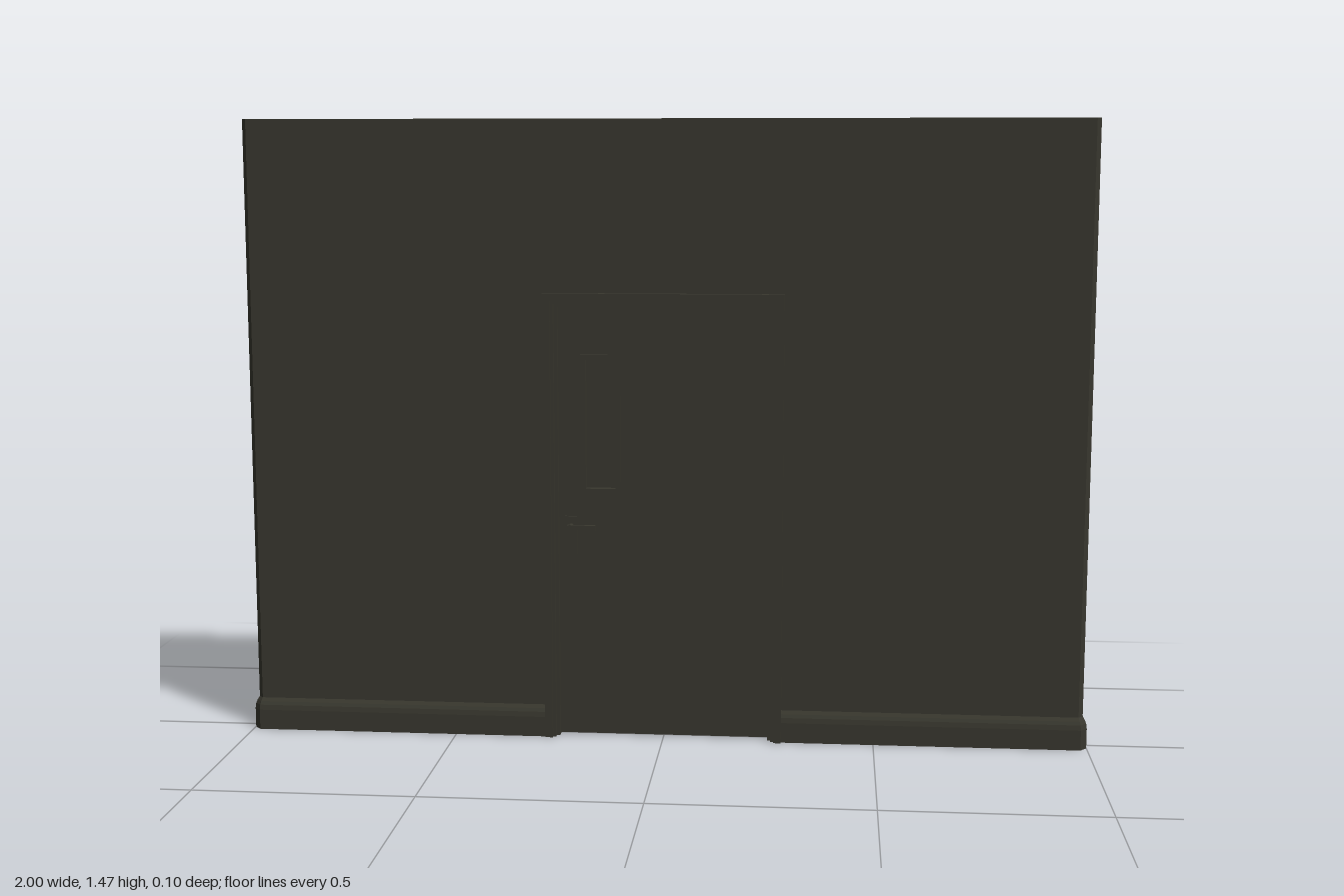
import * as THREE from 'three';

const HEIGHT = 1.466;
const paint = new THREE.MeshStandardMaterial({ color: 0x38372e, side: THREE.DoubleSide });
paint.name = 'dark olive paint';

// Sweeps a profile of [offset, y] along a plan of [x, z, xOut, zOut], x increasing.
function sweep(plan, profile) {
  const pos = [];
  const at = (p, r) => [p[0] + p[2] * r[0], r[1], p[1] + p[3] * r[0]];
  for (let i = 0; i < plan.length - 1; i++) {
    for (let j = 0; j < profile.length - 1; j++) {
      const a = at(plan[i], profile[j]), b = at(plan[i + 1], profile[j]);
      const c = at(plan[i + 1], profile[j + 1]), d = at(plan[i], profile[j + 1]);
      pos.push(...a, ...b, ...c, ...a, ...c, ...d);
    }
  }
  // end caps
  const first = plan[0], last = plan[plan.length - 1];
  for (let j = 1; j < profile.length - 2; j++) {
    pos.push(...at(first, profile[0]), ...at(first, profile[j]), ...at(first, profile[j + 1]));
    pos.push(...at(last, profile[0]), ...at(last, profile[j + 1]), ...at(last, profile[j]));
  }
  const g = new THREE.BufferGeometry();
  g.setAttribute('position', new THREE.Float32BufferAttribute(pos, 3));
  g.computeVertexNormals();
  return g;
}

const mirrorPlan = (plan) => plan.map(([x, z, u, v]) => [-x, z, -u, v]).reverse();

function add(parent, name, geometry) {
  const m = new THREE.Mesh(geometry, paint);
  m.name = name;
  parent.add(m);
  return m;
}

function box(parent, name, x0, x1, y0, y1, z0, z1) {
  const m = add(parent, name, new THREE.BoxGeometry(x1 - x0, y1 - y0, z1 - z0));
  m.position.set((x0 + x1) / 2, (y0 + y1) / 2, (z0 + z1) / 2);
  return m;
}

// Flat rectangular ring facing +z
function ring(x0, x1, y0, y1, w, depth) {
  const s = new THREE.Shape();
  s.moveTo(x0, y0).lineTo(x1, y0).lineTo(x1, y1).lineTo(x0, y1).closePath();
  const h = new THREE.Path();
  h.moveTo(x0 + w, y0 + w).lineTo(x0 + w, y1 - w).lineTo(x1 - w, y1 - w).lineTo(x1 - w, y0 + w).closePath();
  s.holes.push(h);
  return new THREE.ExtrudeGeometry(s, { depth, bevelEnabled: false });
}

// One face of the wall: two side panels, the panel over the door, and skirting
function wallFace(name) {
  const g = new THREE.Group();
  g.name = name;
  const plan = [[0.265, 0.03, 0, 1], [0.979, 0.03, 0.4, 1], [0.99, 0.018, 0.8, 0.5]];
  const sheet = (y0) => [[-0.004, y0], [0, y0], [0, HEIGHT], [-0.004, HEIGHT], [-0.004, y0]];
  const skirt = [[0, 0], [0.012, 0], [0.012, 0.048], [0.01, 0.06], [0.006, 0.068], [0, 0.076], [0, 0]];
  for (const [side, p] of [['left', plan], ['right', mirrorPlan(plan)]]) {
    add(g, side + 'WallPanel', sweep(p, sheet(0)));
    add(g, side + 'Skirting', sweep(p, skirt));
  }
  add(g, 'overDoorPanel', sweep([[-0.265, 0.03, 0, 1], [0.265, 0.03, 0, 1]], sheet(1.05)));
  return g;
}

// Lever handle on its plate, fixed to the door face at z
function handle(name, z) {
  const g = new THREE.Group();
  g.name = name;
  const s = Math.sign(z), a = Math.abs(z);
  const part = (n, x0, x1, y0, y1, d0, d1) =>
    box(g, n, x0, x1, y0, y1, Math.min(s * (a + d0), s * (a + d1)), Math.max(s * (a + d0), s * (a + d1)));
  part('handlePlate', -0.235, -0.206, 0.445, 0.535, 0, 0.006);
  const stem = add(g, 'handleStem', new THREE.CylinderGeometry(0.007, 0.007, 0.026, 12));
  stem.rotation.x = Math.PI / 2;
  stem.position.set(-0.22, 0.511, s * (a + 0.014));
  part('handleLever', -0.227, -0.16, 0.505, 0.517, 0.018, 0.028);
  return g;
}

export function createModel() {
  const model = new THREE.Group();
  model.name = 'wallWithDoor';

  // Wall faces, front and back
  model.add(wallFace('frontWall'));
  const back = wallFace('backWall');
  back.rotation.y = Math.PI;
  model.add(back);

  // Stepped door frame: outer casing, lining and door stop
  const frame = new THREE.Group();
  frame.name = 'doorFrame';
  const steps = [['casing', 0.282, 0.264, 0.048], ['lining', 0.264, 0.257, 0.04], ['stop', 0.257, 0.249, 0.028]];
  for (const [n, outer, inner, z] of steps) {
    const top = 0.783 + outer, under = 0.783 + inner;
    box(frame, n + 'Left', inner, outer, 0, top, -z, z);
    box(frame, n + 'Right', -outer, -inner, 0, top, -z, z);
    box(frame, n + 'Top', -inner, inner, under, top, -z, z);
  }
  model.add(frame);

  // Door leaf with a window opening
  const door = new THREE.Group();
  door.name = 'door';
  const leaf = new THREE.Shape();
  leaf.moveTo(-0.249, 0.004).lineTo(0.249, 0.004).lineTo(0.249, 1.032).lineTo(-0.249, 1.032).closePath();
  const hole = new THREE.Path();
  hole.moveTo(-0.184, 0.602).lineTo(-0.184, 0.908).lineTo(-0.113, 0.908).lineTo(-0.113, 0.602).closePath();
  leaf.holes.push(hole);
  add(door, 'doorLeaf', new THREE.ExtrudeGeometry(leaf, { depth: 0.03, bevelEnabled: false })).position.z = -0.015;
  box(door, 'windowPane', -0.184, -0.113, 0.602, 0.908, -0.003, 0.003);
  for (const z of [0.015, -0.021]) {
    add(door, 'windowTrim', ring(-0.196, -0.101, 0.59, 0.92, 0.012, 0.006)).position.z = z;
  }
  door.add(handle('frontHandle', 0.015), handle('backHandle', -0.015));
  model.add(door);

  return model;
}
